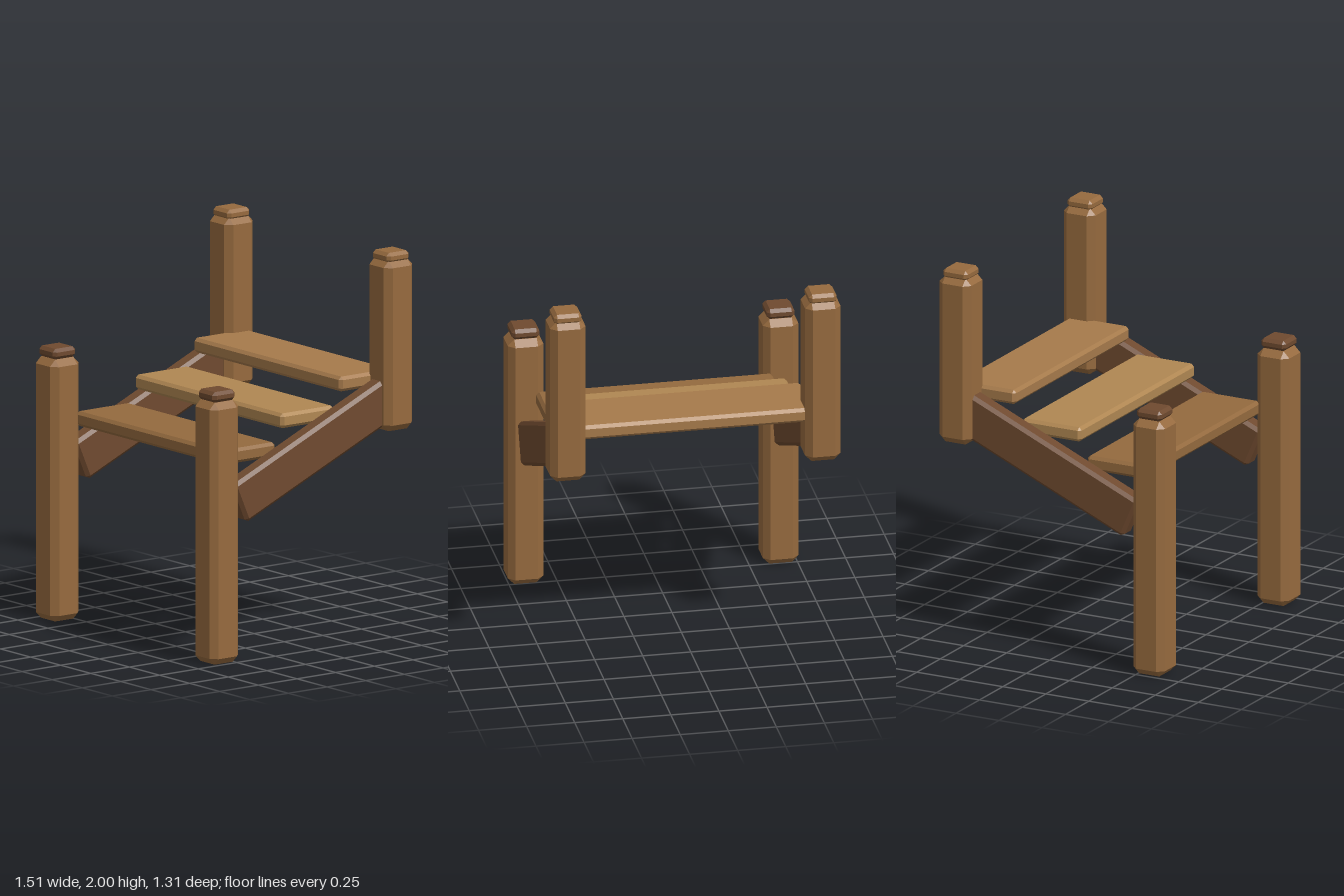
import * as THREE from 'three';
import { ConvexGeometry } from 'three/addons/geometries/ConvexGeometry.js';

const wood = (color) => new THREE.MeshStandardMaterial({ color, flatShading: true });
const MATS = {
  post: wood(0x966a3e),
  dark: wood(0x6f4a2f),
  top: wood(0xa67a4b),
  middle: wood(0xb08752),
  bottom: wood(0x946a3e),
};

// Box with every edge cut by a flat bevel c
function beveledBox(w, h, d, c) {
  const points = [];
  for (const sx of [-1, 1]) for (const sy of [-1, 1]) for (const sz of [-1, 1]) {
    const x = w / 2, y = h / 2, z = d / 2;
    points.push(
      new THREE.Vector3(sx * x, sy * (y - c), sz * (z - c)),
      new THREE.Vector3(sx * (x - c), sy * y, sz * (z - c)),
      new THREE.Vector3(sx * (x - c), sy * (y - c), sz * z),
    );
  }
  return new ConvexGeometry(points);
}

function addBox(parent, name, size, bevel, position, material) {
  const mesh = new THREE.Mesh(beveledBox(...size, bevel), material);
  mesh.name = name;
  mesh.position.set(...position);
  parent.add(mesh);
  return mesh;
}

export function createModel() {
  const group = new THREE.Group();
  group.name = 'steps';

  for (const [side, s] of [['left', 1], ['right', -1]]) {
    const x = s * 0.663;

    // Posts with caps: tall at the front, short and raised at the back
    for (const [end, z, y0, y1, capTop, capMat] of [
      ['Front', 0.563, 0, 1.367, 1.422, MATS.dark],
      ['Back', -0.563, 1.07, 1.96, 2, MATS.post],
    ]) {
      addBox(group, `${side}${end}Post`, [0.185, y1 - y0, 0.185], 0.034, [x, (y0 + y1) / 2, z], MATS.post);
      addBox(group, `${side}${end}PostCap`, [0.145, 0.055, 0.145], 0.017, [x, capTop - 0.0275, z], capMat);
    }

    // Sloping side beam rising to the back
    const beam = addBox(group, `${side}Stringer`, [0.1, 0.226, 1.075], 0.018, [s * 0.66, 1.025, -0.05], MATS.dark);
    beam.rotation.x = THREE.MathUtils.degToRad(23.5);
  }

  // Treads
  for (const [name, y, z, mat] of [
    ['bottomTread', 1.041, 0.312, MATS.bottom],
    ['middleTread', 1.182, -0.068, MATS.middle],
    ['topTread', 1.324, -0.448, MATS.top],
  ]) {
    addBox(group, name, [1.23, 0.077, 0.345], 0.016, [0, y, z], mat);
  }

  return group;
}
